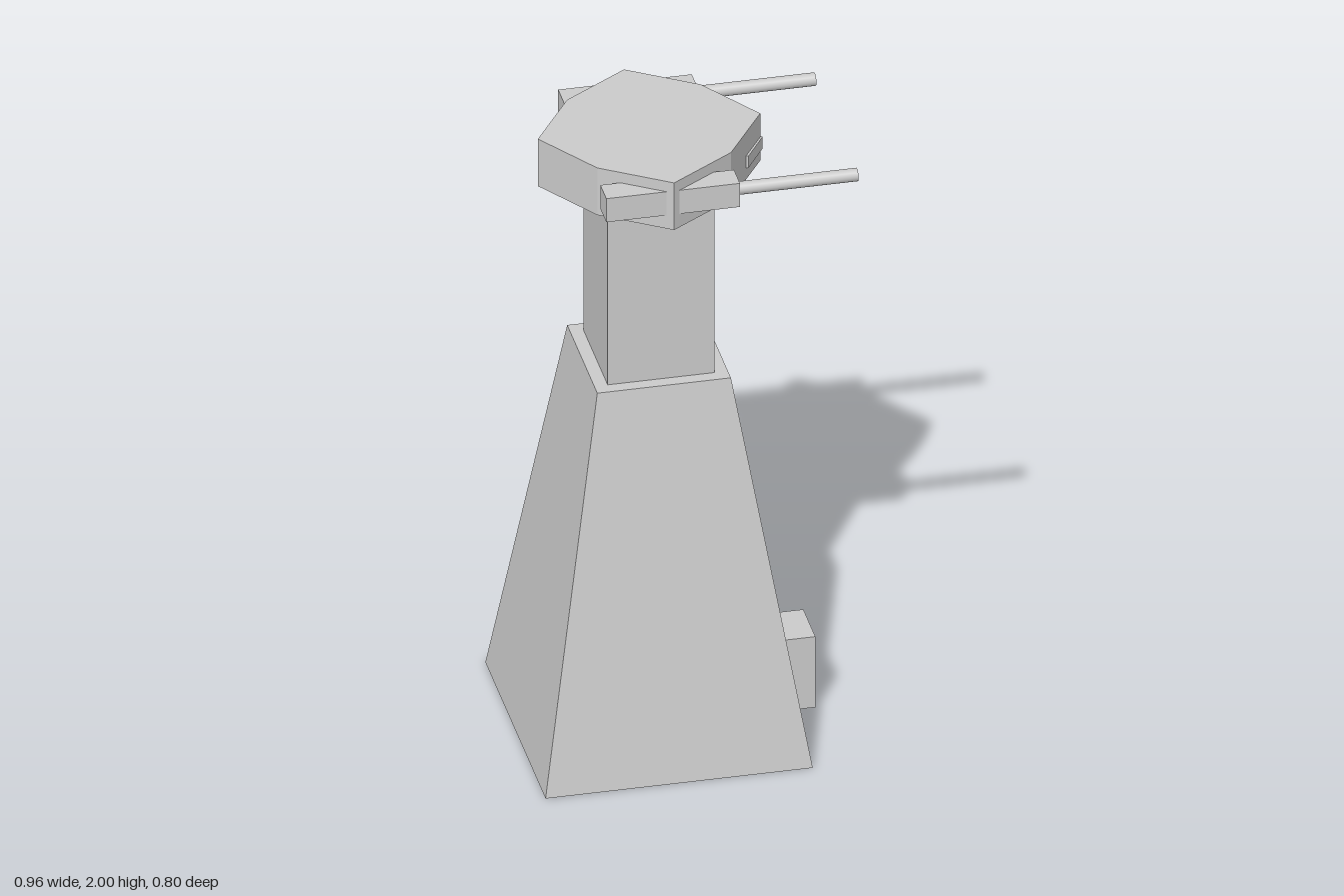
import * as THREE from 'three';

const material = new THREE.MeshStandardMaterial({ color: 0xcccccc, flatShading: true });
const smooth = new THREE.MeshStandardMaterial({ color: 0xcccccc });
const AXIS = -0.08; // x of the tower's centre line

export function createModel() {
  const model = new THREE.Group();

  const add = (name, geometry, x = 0, y = 0, z = 0, mat = material) => {
    const mesh = new THREE.Mesh(geometry, mat);
    mesh.name = name;
    mesh.position.set(x, y, z);
    model.add(mesh);
    return mesh;
  };

  // Upright prism from [x, z] outline points
  const prism = (points, y0, y1) => {
    const shape = new THREE.Shape(points.map(([x, z]) => new THREE.Vector2(x, -z)));
    return new THREE.ExtrudeGeometry(shape, { depth: y1 - y0, bevelEnabled: false })
      .rotateX(-Math.PI / 2).translate(0, y0, 0);
  };

  // Tapered square base: the upper corners of a box are drawn in by half
  const base = new THREE.BoxGeometry(0.8, 1.235, 0.8);
  const p = base.attributes.position;
  for (let i = 0; i < p.count; i++) {
    if (p.getY(i) > 0) p.setXYZ(i, p.getX(i) / 2, p.getY(i), p.getZ(i) / 2);
  }
  base.computeVertexNormals();
  add('towerBase', base, AXIS, 0.6175, 0);

  // Square column
  add('column', new THREE.BoxGeometry(0.32, 0.64, 0.32), AXIS, 1.54, 0);

  // Eight-sided head, points alternating between two radii
  const outline = [];
  for (let i = 0; i < 8; i++) {
    const a = (i * Math.PI) / 4;
    const r = i % 2 ? 0.2 * Math.SQRT2 : 0.333;
    outline.push([AXIS + r * Math.cos(a), r * Math.sin(a)]);
  }
  add('turretHead', prism(outline, 1.84, 2));

  // Thin visor wrapped round the forward corner of the head
  add('visor', prism([[0.15, -0.09], [0.195, -0.1], [0.26, 0], [0.195, 0.1], [0.15, 0.09]], 1.88, 1.92));

  // Gun housings and barrels on both sides
  for (const [side, s] of [['left', -1], ['right', 1]]) {
    add(side + 'GunHousing', new THREE.BoxGeometry(0.4, 0.08, 0.08), AXIS, 1.925, s * 0.28);
    const barrel = new THREE.CylinderGeometry(0.02, 0.02, 0.38, 16).rotateZ(-Math.PI / 2);
    add(side + 'GunBarrel', barrel, 0.29, 1.925, s * 0.28, smooth);
  }

  // Entrance block at the foot
  add('entrance', new THREE.BoxGeometry(0.12, 0.24, 0.16), 0.34, 0.13, 0);

  return model;
}
